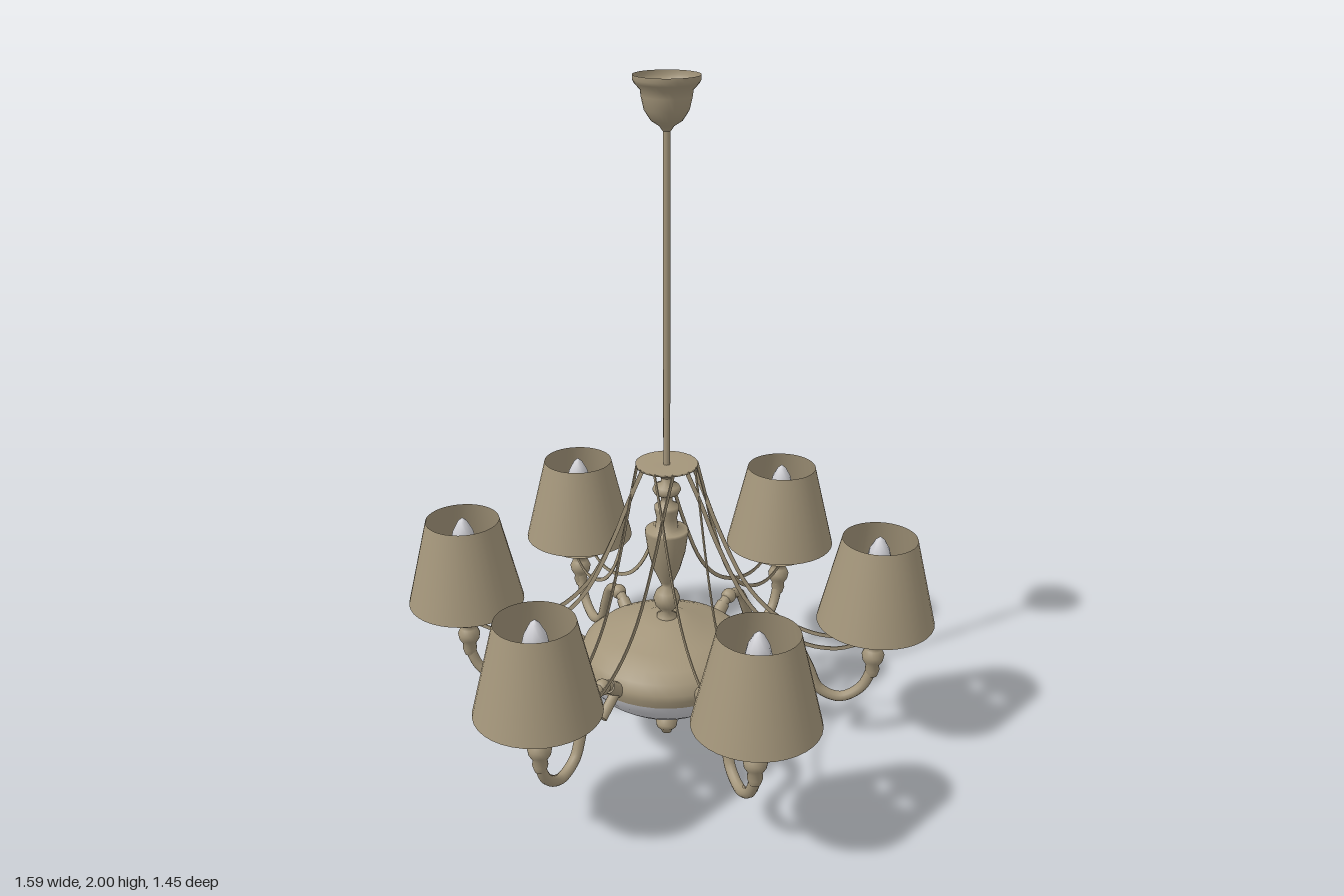
import * as THREE from 'three';

const bronze = new THREE.MeshStandardMaterial({ color: 0xa3957a, side: THREE.DoubleSide });
bronze.name = 'bronze';
const glass = new THREE.MeshStandardMaterial({ color: 0xcdcdd2, side: THREE.DoubleSide });
glass.name = 'frosted glass';

const CENTER_Z = -0.01;
// Lamp positions (x, z); the arms are slightly unevenly spaced
const LAMPS = [[0.62, -0.065], [0.305, -0.555], [-0.365, -0.52], [-0.62, -0.025], [-0.27, 0.545], [0.31, 0.525]];

function add(parent, name, geometry, material = bronze) {
  const mesh = new THREE.Mesh(geometry, material);
  mesh.name = name;
  parent.add(mesh);
  return mesh;
}

// Turned part from [radius, height] pairs, listed bottom to top
function turned(parent, name, points, material = bronze, sides = 24) {
  const profile = points.map(([r, y]) => new THREE.Vector2(r, y));
  return add(parent, name, new THREE.LatheGeometry(profile, sides), material);
}

// Short straight rod between two points in the arm's plane
function rod(parent, name, a, b, r0, r1) {
  const from = new THREE.Vector3(a[0], a[1], 0);
  const dir = new THREE.Vector3(b[0], b[1], 0).sub(from);
  const mesh = add(parent, name, new THREE.CylinderGeometry(r1, r0, dir.length(), 12));
  mesh.position.copy(from).addScaledVector(dir, 0.5);
  mesh.quaternion.setFromUnitVectors(new THREE.Vector3(0, 1, 0), dir.normalize());
  return mesh;
}

// Thin upright ribbon sweeping from the upper disc down to a lamp
function ribbonGeometry() {
  const curve = new THREE.SplineCurve([
    [0.06, 0.91], [0.105, 0.80], [0.15, 0.68], [0.23, 0.51], [0.32, 0.405], [0.42, 0.35], [0.51, 0.335], [0.58, 0.352],
  ].map(([x, y]) => new THREE.Vector2(x, y)));
  const upper = [], lower = [];
  for (let i = 0; i <= 28; i++) {
    const p = curve.getPoint(i / 28), t = curve.getTangent(i / 28);
    const n = new THREE.Vector2(-t.y, t.x).multiplyScalar(0.006);
    upper.push(p.clone().add(n));
    lower.unshift(p.clone().sub(n));
  }
  return new THREE.ExtrudeGeometry(new THREE.Shape([...upper, ...lower]), { depth: 0.003, bevelEnabled: false });
}

function buildArm(ribbon) {
  const arm = new THREE.Group();
  arm.name = 'arm';

  // S-curved tube from the bowl to the lamp
  const path = new THREE.CatmullRomCurve3([
    [0.23, 0.265], [0.28, 0.31], [0.335, 0.338], [0.39, 0.32], [0.43, 0.25],
    [0.465, 0.175], [0.53, 0.147], [0.59, 0.18], [0.618, 0.24], [0.62, 0.28],
  ].map(([x, y]) => new THREE.Vector3(x, y, 0)));
  add(arm, 'armTube', new THREE.TubeGeometry(path, 48, 0.016, 10));

  // Sleeve, bead and angled stub where the arm meets the bowl
  rod(arm, 'armSleeve', [0.25, 0.285], [0.3, 0.323], 0.022, 0.02);
  const bead = add(arm, 'armBead', new THREE.SphereGeometry(0.024, 12, 8));
  bead.position.set(0.33, 0.337, 0);
  rod(arm, 'armStub', [0.26, 0.29], [0.335, 0.235], 0.015, 0.015);

  // Pair of ribbons converging on the lamp
  for (const side of [-1, 1]) {
    const mesh = add(arm, 'ribbon', ribbon);
    mesh.position.z = side * 0.066 - 0.0015;
    mesh.rotation.y = side * 0.06;
  }
  return arm;
}

function buildLamp() {
  const lamp = new THREE.Group();
  lamp.name = 'lamp';
  turned(lamp, 'holderCup', [
    [0.016, 0.225], [0.022, 0.245], [0.02, 0.262], [0.031, 0.28], [0.034, 0.298],
    [0.026, 0.316], [0.018, 0.324], [0.03, 0.338], [0.048, 0.345], [0.07, 0.357], [0.09, 0.366], [0, 0.362],
  ]);
  const candle = add(lamp, 'candle', new THREE.CylinderGeometry(0.025, 0.025, 0.21, 16));
  candle.position.y = 0.465;
  turned(lamp, 'bulb', [
    [0.016, 0.57], [0.03, 0.595], [0.037, 0.62], [0.03, 0.65], [0.014, 0.68], [0, 0.692],
  ], glass, 10);
  turned(lamp, 'shade', [[0.175, 0.415], [0.11, 0.685]], bronze, 36);
  return lamp;
}

export function createModel() {
  const model = new THREE.Group();
  model.name = 'chandelier';
  const body = new THREE.Group();
  body.name = 'centralBody';
  body.position.z = CENTER_Z;
  model.add(body);

  // Ceiling canopy and long rod
  turned(body, 'canopy', [
    [0.011, 1.855], [0.02, 1.868], [0.042, 1.882], [0.06, 1.91], [0.068, 1.945],
    [0.07, 1.962], [0.085, 1.978], [0.09, 1.988], [0.09, 2.0],
  ], bronze, 28);
  const pole = add(body, 'pole', new THREE.CylinderGeometry(0.01, 0.01, 1.0, 12));
  pole.position.y = 1.385;

  // Upper disc that carries the ribbons, then the turned stem
  turned(body, 'upperDisc', [[0.018, 0.868], [0.03, 0.88], [0.055, 0.892], [0.09, 0.905], [0.09, 0.912], [0, 0.908]]);
  turned(body, 'stem', [
    [0.03, 0.4], [0.03, 0.418], [0.015, 0.43], [0.034, 0.452], [0.04, 0.475], [0.032, 0.497],
    [0.014, 0.515], [0.02, 0.53], [0.038, 0.57], [0.055, 0.63], [0.064, 0.695], [0.062, 0.703],
    [0.034, 0.705], [0.03, 0.74], [0.036, 0.768], [0.036, 0.778], [0.017, 0.79], [0.017, 0.808],
    [0.036, 0.818], [0.042, 0.83], [0.036, 0.842], [0.016, 0.852], [0.016, 0.88],
  ]);

  // Metal bowl cover, glass bowl and finial
  turned(body, 'bowlCover', [
    [0.255, 0.252], [0.263, 0.275], [0.263, 0.295], [0.25, 0.325], [0.22, 0.35], [0.17, 0.372],
    [0.11, 0.388], [0.075, 0.405], [0.035, 0.412], [0, 0.412],
  ], bronze, 40);
  turned(body, 'glassBowl', [
    [0, 0.112], [0.05, 0.117], [0.11, 0.132], [0.17, 0.157], [0.215, 0.19], [0.245, 0.225], [0.256, 0.255],
  ], glass, 40);
  turned(body, 'finial', [
    [0, 0], [0.015, 0.006], [0.018, 0.015], [0.031, 0.028], [0.033, 0.042], [0.024, 0.06],
    [0.013, 0.07], [0.014, 0.085], [0.02, 0.1], [0.038, 0.114], [0.038, 0.12],
  ]);

  // Six arms and lamps
  const ribbon = ribbonGeometry();
  for (const [x, z] of LAMPS) {
    const arm = buildArm(ribbon);
    arm.rotation.y = -Math.atan2(z - CENTER_Z, x);
    body.add(arm);
    const lamp = buildLamp();
    lamp.position.set(x, 0, z);
    model.add(lamp);
  }
  return model;
}
